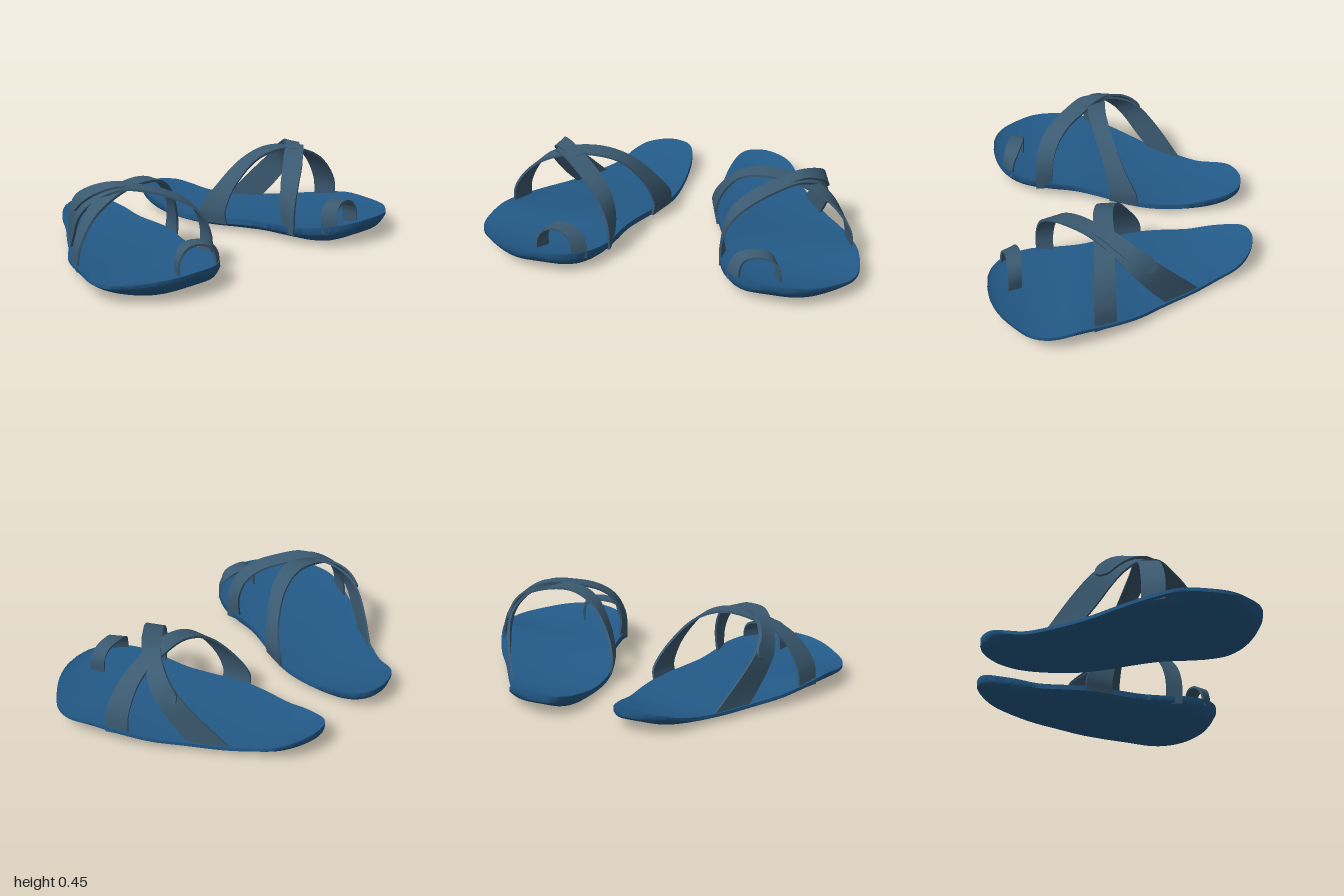
import * as THREE from 'three';
import { toCreasedNormals } from 'three/addons/utils/BufferGeometryUtils.js';

const V = (x, y, z) => new THREE.Vector3(x, y, z);
const curve = pts => new THREE.CatmullRomCurve3(pts, false, 'catmullrom', 0.5);

// Skin a list of closed rings; side -1 gives the mirrored, slightly toed right shoe
function loft(rings, side, crease) {
  const m = rings[0].length, pos = [], idx = [];
  const tri = (a, b, c) => (side > 0 ? idx.push(a, b, c) : idx.push(a, c, b));
  for (const ring of rings) {
    for (const p of ring) pos.push(side > 0 ? p.x : -p.x + 0.03 * (0.4 - p.z), p.y, p.z);
  }
  for (let i = 0; i < rings.length - 1; i++) {
    for (let j = 0; j < m; j++) {
      const a = i * m + j, b = i * m + (j + 1) % m;
      tri(a, a + m, b + m);
      tri(a, b + m, b);
    }
  }
  const last = (rings.length - 1) * m;
  for (let j = 1; j < m - 1; j++) {
    tri(0, j, j + 1);
    tri(last, last + j + 1, last + j);
  }
  const g = new THREE.BufferGeometry();
  g.setAttribute('position', new THREE.Float32BufferAttribute(pos, 3));
  g.setIndex(idx);
  return toCreasedNormals(g, crease);
}

// Sole stations, heel to toe: z, inner x, outer x, inner top y, outer top y, bottom y
const STATIONS = [
  [-0.69, 0.265, 0.305, 0.125, 0.125, 0.09],
  [-0.675, 0.205, 0.365, 0.122, 0.12, 0.077],
  [-0.64, 0.165, 0.435, 0.115, 0.108, 0.058],
  [-0.58, 0.14, 0.49, 0.1, 0.085, 0.033],
  [-0.48, 0.125, 0.54, 0.082, 0.06, 0.01],
  [-0.36, 0.12, 0.62, 0.06, 0.052, 0.005],
  [-0.2, 0.122, 0.725, 0.06, 0.058, 0.006],
  [-0.06, 0.15, 0.83, 0.07, 0.073, 0.008],
  [0.08, 0.21, 0.91, 0.08, 0.095, 0.01],
  [0.22, 0.262, 0.968, 0.088, 0.112, 0.012],
  [0.36, 0.285, 0.997, 0.095, 0.1, 0.013],
  [0.47, 0.305, 0.975, 0.105, 0.1, 0.015],
  [0.56, 0.35, 0.9, 0.115, 0.11, 0.022],
  [0.63, 0.415, 0.815, 0.125, 0.122, 0.049],
  [0.67, 0.49, 0.73, 0.133, 0.132, 0.084],
  [0.687, 0.56, 0.645, 0.138, 0.138, 0.112],
];

function soleGeometry(side) {
  const inner = curve(STATIONS.map(s => V(s[1], s[3], s[0])));
  const outer = curve(STATIONS.map(s => V(s[2], s[4], s[0])));
  const under = curve(STATIONS.map(s => V(0, s[5], s[0])));
  const rings = [], steps = 75, n = 20;
  for (let i = 0; i <= steps; i++) {
    const t = i / steps;
    const a = inner.getPoint(t), b = outer.getPoint(t), low = under.getPoint(t).y;
    const dish = 0.03 * (b.x - a.x);
    const top = [], bottom = [];
    for (let j = 0; j <= n; j++) {
      const u = -Math.cos(Math.PI * j / n);
      const p = a.clone().lerp(b, (u + 1) / 2);
      // Bottom curls up to a thin rim, more on the outer side
      const lift = u > 0 ? u ** 4 : 0.75 * u ** 8;
      bottom.unshift(V(p.x, THREE.MathUtils.lerp(low, Math.max(low, p.y - 0.018), lift), p.z));
      p.y = Math.max(p.y - dish * (1 - u * u), low + 0.018);
      top.push(p);
    }
    rings.push([...top, ...bottom]);
  }
  return loft(rings, side, 0.8);
}

// Flat band along a path; each row is a point, its width direction and its half width
function bandGeometry(rows, side, rounded = false) {
  const thick = 0.012, rings = [], steps = 44;
  const path = curve(rows.map(r => V(r[0], r[1], r[2])));
  const dirs = curve(rows.map(r => V(r[3], r[4], r[5]).setLength(r[6])));
  for (let i = 0; i <= steps; i++) {
    const t = i / steps;
    const p = path.getPoint(t), w = dirs.getPoint(t);
    const n = w.clone().cross(path.getTangent(t)).normalize();
    const e = rounded ? Math.max(0, (t - 0.86) / 0.14) : 0;
    const h = Math.sqrt(Math.max(0.06, 1 - e * e));
    rings.push([[1, 1], [-1, 1], [-1, -1], [1, -1]].map(([s, q]) =>
      p.clone().addScaledVector(w, s * h).addScaledVector(n, q * thick / 2)));
  }
  return loft(rings, side, 0.7);
}

// Instep strap, outer edge to inner edge
const INSTEP = [
  [0.905, 0.07, 0.105, -0.45, 0, -1, 0.06],
  [0.885, 0.2, 0.108, -0.45, 0, -1, 0.06],
  [0.785, 0.34, 0.105, -0.3, 0.1, -1, 0.054],
  [0.62, 0.417, 0.1, -0.05, 0, -1, 0.05],
  [0.45, 0.435, 0.098, -0.1, 0, -1, 0.05],
  [0.31, 0.383, 0.068, -0.25, -0.15, -1, 0.053],
  [0.205, 0.255, 0.015, -0.35, -0.15, -1, 0.06],
  [0.155, 0.13, -0.03, -0.35, 0, -1, 0.075],
  [0.162, 0.045, -0.035, -0.35, 0, -1, 0.08],
];
// Diagonal strap, inner front to outer back
const DIAGONAL = [
  [0.3, 0.055, 0.4, -0.1, 0, 1, 0.046],
  [0.295, 0.2, 0.398, 0.15, 0, 1, 0.046],
  [0.335, 0.315, 0.37, 0.4, 0, 1, 0.05],
  [0.41, 0.382, 0.315, 0.5, 0, 0.85, 0.052],
  [0.5, 0.418, 0.235, 0.6, 0, 0.8, 0.052],
  [0.6, 0.434, 0.145, 0.7, 0, 0.7, 0.05],
  [0.68, 0.405, 0.05, 0.7, -0.4, 0.6, 0.047],
  [0.73, 0.342, -0.04, 0.5, -0.55, 0.65, 0.056],
  [0.735, 0.27, -0.115, 0.38, -0.55, 0.75, 0.065],
  [0.7, 0.165, -0.2, 0.42, -0.4, 0.8, 0.076],
  [0.645, 0.045, -0.293, 0.55, 0, 0.83, 0.1],
];
// Overlapping fastening flap with a rounded end
const FLAP = [
  [0.55, 0.432, 0.18, 0.65, 0, 0.75, 0.036],
  [0.63, 0.441, 0.1, 0.7, -0.1, 0.7, 0.038],
  [0.695, 0.414, 0.02, 0.65, -0.4, 0.6, 0.038],
  [0.735, 0.36, -0.065, 0.45, -0.55, 0.65, 0.04],
  [0.738, 0.285, -0.145, 0.38, -0.55, 0.75, 0.042],
];
// Toe loop, inner to outer
const TOE = [
  [0.4, 0.08, 0.605, 0.8, 0, 0.6, 0.042],
  [0.405, 0.16, 0.595, 0.75, 0, 0.65, 0.042],
  [0.435, 0.21, 0.578, 0.55, 0, 0.85, 0.042],
  [0.5, 0.228, 0.558, 0.3, 0, 1, 0.04],
  [0.57, 0.218, 0.55, 0.3, 0, 1, 0.038],
  [0.612, 0.165, 0.55, 0.45, 0, 0.9, 0.038],
  [0.618, 0.08, 0.552, 0.5, 0, 0.85, 0.038],
];

export function createModel() {
  const soleBlue = new THREE.MeshStandardMaterial({ color: 0x235a88 });
  soleBlue.name = 'soleBlue';
  const strapSlate = new THREE.MeshStandardMaterial({ color: 0x3b5a71 });
  strapSlate.name = 'strapSlate';

  const model = new THREE.Group();
  model.name = 'sandals';
  for (const side of [1, -1]) {
    const sandal = new THREE.Group();
    sandal.name = side > 0 ? 'leftSandal' : 'rightSandal';
    const add = (name, geometry, material) => {
      const mesh = new THREE.Mesh(geometry, material);
      mesh.name = name;
      sandal.add(mesh);
    };
    add('sole', soleGeometry(side), soleBlue);
    add('instepStrap', bandGeometry(INSTEP, side), strapSlate);
    add('diagonalStrap', bandGeometry(DIAGONAL, side), strapSlate);
    add('strapFlap', bandGeometry(FLAP, side, true), strapSlate);
    add('toeLoop', bandGeometry(TOE, side), strapSlate);
    model.add(sandal);
  }
  return model;
}
